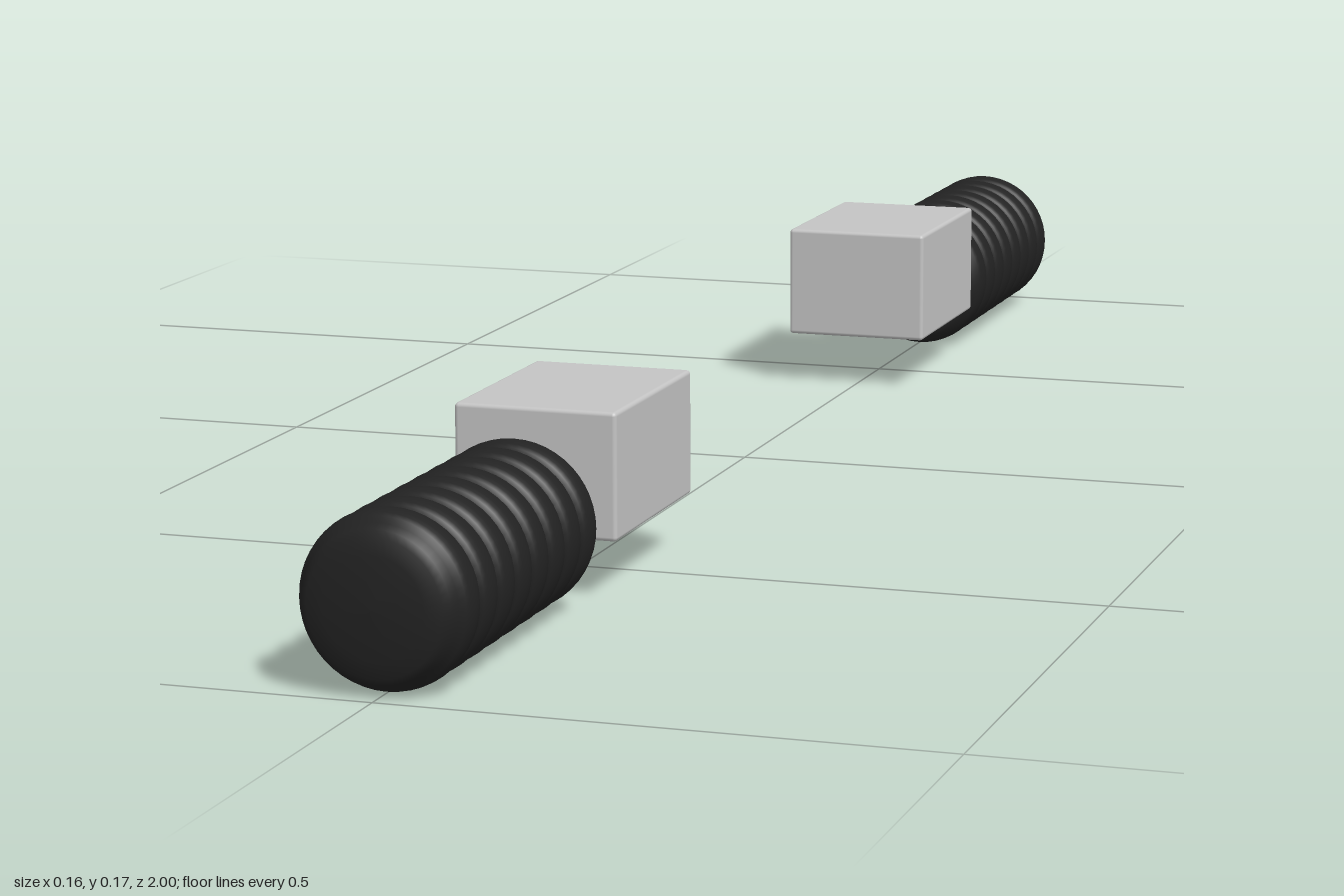
import * as THREE from 'three';
import { RoundedBoxGeometry } from 'three/addons/geometries/RoundedBoxGeometry.js';

const AXIS_Y = 0.078;   // height of the grip axis
const GRIP_START = 0.653;
const RIBS = 8;
const PITCH = 0.0405;

const metal = new THREE.MeshStandardMaterial({ color: 0xc4c4c4 });
metal.name = 'light grey metal';
const rubber = new THREE.MeshStandardMaterial({ color: 0x222222 });
rubber.name = 'black rubber';

function addMesh(group, name, geometry, material, y, z) {
  const mesh = new THREE.Mesh(geometry, material);
  mesh.name = name;
  mesh.position.set(0, y, z);
  group.add(mesh);
  return mesh;
}

// Ribbed sleeve: a row of rounded rings ending in a shallow dome
function gripGeometry() {
  const points = [new THREE.Vector2(0, 0), new THREE.Vector2(0.062, 0)];
  const steps = 8;
  for (let rib = 0; rib < RIBS; rib++) {
    for (let i = 0; i < steps; i++) {
      const t = i / steps;
      const r = 0.068 + 0.0095 * Math.sqrt(Math.sin(Math.PI * t));
      points.push(new THREE.Vector2(r, 0.003 + (rib + t) * PITCH));
    }
  }
  const end = 0.003 + RIBS * PITCH;
  points.push(
    new THREE.Vector2(0.069, end),
    new THREE.Vector2(0.066, end + 0.009),
    new THREE.Vector2(0.060, end + 0.0135),
    new THREE.Vector2(0.045, end + 0.0165),
    new THREE.Vector2(0.024, end + 0.019),
    new THREE.Vector2(0, end + 0.02)
  );
  const geometry = new THREE.LatheGeometry(points, 48);
  geometry.rotateX(Math.PI / 2);
  return geometry;
}

// One handle pointing towards +z
function createHandle(name) {
  const handle = new THREE.Group();
  handle.name = name;
  addMesh(handle, 'mountingBlock', new RoundedBoxGeometry(0.154, 0.118, 0.212, 2, 0.004), metal, 0.113, 0.51);
  const stem = new THREE.CylinderGeometry(0.051, 0.051, 0.07, 40);
  stem.rotateX(Math.PI / 2);
  addMesh(handle, 'stem', stem, metal, AXIS_Y, 0.641);
  addMesh(handle, 'ribbedGrip', gripGeometry(), rubber, AXIS_Y, GRIP_START);
  return handle;
}

export function createModel() {
  const model = new THREE.Group();
  model.name = 'handlePair';
  const front = createHandle('frontHandle');
  const back = createHandle('backHandle');
  back.rotation.y = Math.PI;
  model.add(front, back);
  return model;
}
